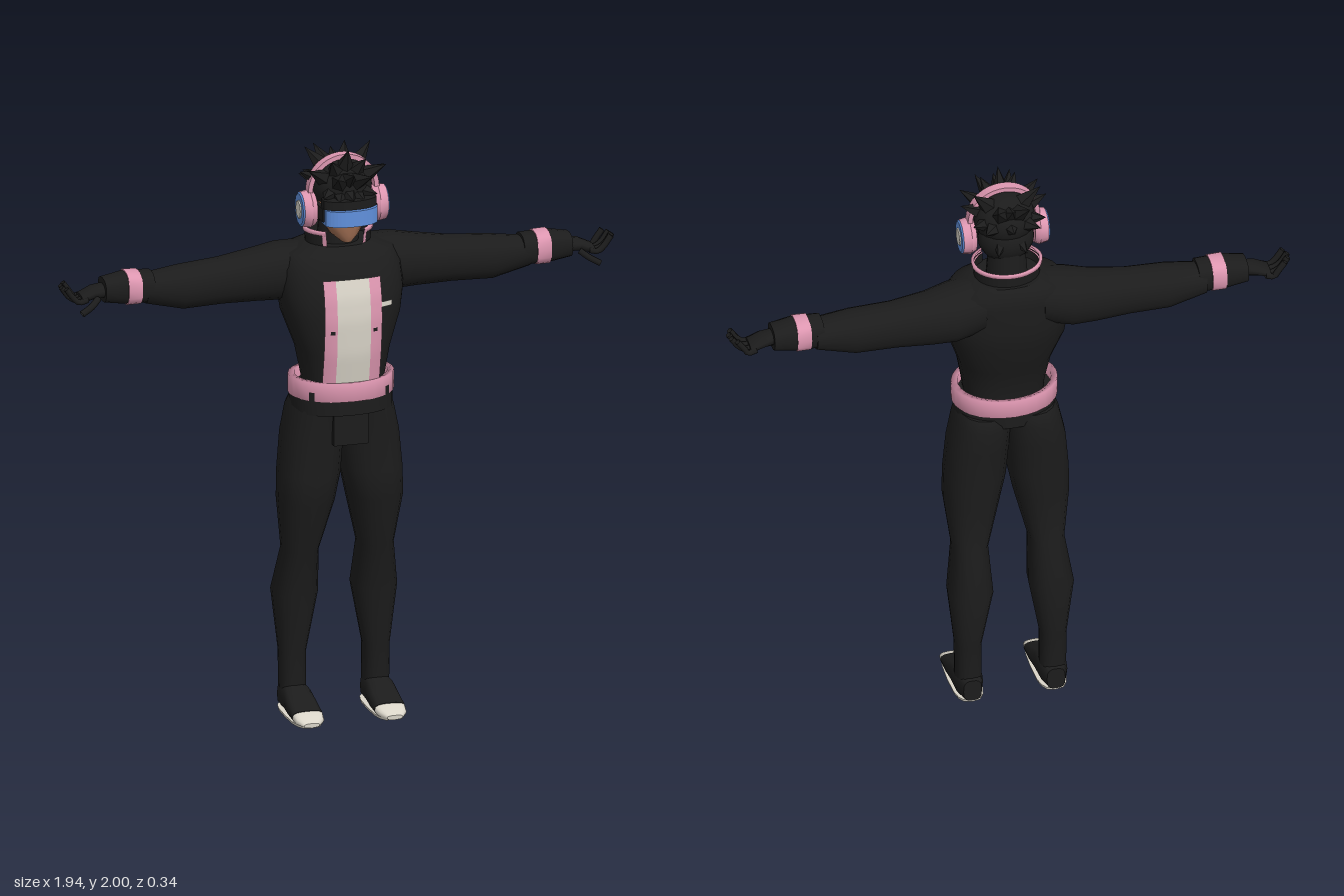
import * as THREE from 'three';
import { mergeGeometries } from 'three/addons/utils/BufferGeometryUtils.js';

const mat = (name, color, side = THREE.FrontSide) => {
  const m = new THREE.MeshStandardMaterial({ color, side });
  m.name = name;
  return m;
};

// Lofts rounded cross-sections [t, a0, a1, b0, b1] along an axis.
// axis y: a = z, b = x; axis x: a = y, b = z; axis z: a = x, b = y
function loft(axis, sections, n = 16, e = 2.3) {
  const pos = [], idx = [];
  const put = (t, a, b) => pos.push(...(axis === 'y' ? [b, t, a] : axis === 'x' ? [t, a, b] : [a, b, t]));
  const pw = v => Math.sign(v) * Math.pow(Math.abs(v), 2 / e);
  const ring = ([t, a0, a1, b0, b1]) => {
    const start = pos.length / 3;
    for (let j = 0; j < n; j++) {
      const q = (j / n) * Math.PI * 2;
      put(t, (a0 + a1) / 2 + pw(Math.cos(q)) * (a1 - a0) / 2, (b0 + b1) / 2 + pw(Math.sin(q)) * (b1 - b0) / 2);
    }
    return start;
  };
  const starts = sections.map(ring);
  for (let i = 0; i < starts.length - 1; i++) {
    for (let j = 0; j < n; j++) {
      const k = (j + 1) % n, p = starts[i], q = starts[i + 1];
      idx.push(p + j, p + k, q + j, p + k, q + k, q + j);
    }
  }
  // End caps with their own vertices so the rims stay sharp
  [sections[0], sections[sections.length - 1]].forEach((s, end) => {
    const r = ring(s), c = pos.length / 3;
    put(s[0], (s[1] + s[2]) / 2, (s[3] + s[4]) / 2);
    for (let j = 0; j < n; j++) {
      const k = (j + 1) % n;
      idx.push(c, r + (end ? j : k), r + (end ? k : j));
    }
  });
  const g = new THREE.BufferGeometry();
  g.setAttribute('position', new THREE.Float32BufferAttribute(pos, 3));
  g.setIndex(idx);
  g.computeVertexNormals();
  return g;
}

function mirrored(geo) {
  const g = geo.clone().scale(-1, 1, 1);
  if (!g.index) g.setIndex([...Array(g.attributes.position.count).keys()]);
  const a = g.index.array;
  for (let i = 0; i < a.length; i += 3) [a[i], a[i + 1]] = [a[i + 1], a[i]];
  return g;
}

const tube = (pts, r) => new THREE.TubeGeometry(
  new THREE.CatmullRomCurve3(pts.map(p => new THREE.Vector3(...p))), 8, r, 6);

// Torso sections: height, back, front, right, left
const TORSO = [
  [1.12, -0.09, 0.125, -0.13, 0.13], [1.2, -0.09, 0.128, -0.14, 0.14],
  [1.3, -0.12, 0.145, -0.158, 0.158], [1.42, -0.165, 0.15, -0.2, 0.2],
  [1.5, -0.17, 0.142, -0.212, 0.212], [1.58, -0.17, 0.118, -0.207, 0.207],
  [1.63, -0.168, 0.085, -0.185, 0.185], [1.655, -0.14, 0.06, -0.11, 0.11]];

// Height of the chest surface above z = 0
function chestZ(x, y) {
  let i = 0;
  while (i < TORSO.length - 2 && y > TORSO[i + 1][0]) i++;
  const p = TORSO[i], q = TORSO[i + 1], f = (y - p[0]) / (q[0] - p[0]);
  const [, b, t, , w] = p.map((v, k) => v + (q[k] - v) * f);
  return (b + t) / 2 + (t - b) / 2 * Math.pow(1 - Math.pow(Math.abs(x) / w, 2.5), 0.4);
}

// Thin painted panel that follows the chest
function panel(x0, x1, y0, y1, lift) {
  const g = new THREE.PlaneGeometry(x1 - x0, y1 - y0, 4, 16).translate((x0 + x1) / 2, (y0 + y1) / 2, 0);
  const p = g.attributes.position;
  for (let i = 0; i < p.count; i++) p.setZ(i, chestZ(p.getX(i), p.getY(i)) + lift);
  g.computeVertexNormals();
  return g;
}

export function createModel() {
  const model = new THREE.Group();
  model.name = 'figure';
  const black = mat('black cloth', 0x1c1c1c, THREE.DoubleSide);
  const pink = mat('pink trim', 0xde97b1, THREE.DoubleSide);
  const cream = mat('cream', 0xd9d4c8, THREE.DoubleSide);
  const blue = mat('blue', 0x6090dc);
  const skin = mat('skin', 0x9c6b50);
  const add = (name, geo, m) => {
    const mesh = new THREE.Mesh(geo, m);
    mesh.name = name;
    model.add(mesh);
  };
  const pair = (name, geo, m) => {
    add(name + 'Left', geo, m);
    add(name + 'Right', mirrored(geo), m);
  };

  // Jacket, belt and hem
  add('torso', loft('y', TORSO, 28, 2.5), black);
  add('frontPanel', panel(-0.058, 0.058, 1.2, 1.56, 0.006), cream);
  pair('frontStripe', panel(0.058, 0.1, 1.2, 1.56, 0.006), pink);
  pair('stripeNotch', panel(0.066, 0.082, 1.378, 1.39, 0.009), black);
  add('chestTab', panel(0.1, 0.14, 1.457, 1.475, 0.006), cream);
  const ring = [[0.158, 1.137], [0.18, 1.135], [0.18, 1.2], [0.158, 1.2], [0.158, 1.137]];
  add('belt', new THREE.LatheGeometry(ring.map(p => new THREE.Vector2(...p)), 28).scale(1, 1, 0.805), pink);
  add('hem', loft('y', [[1.085, -0.135, 0.138, -0.172, 0.172], [1.165, -0.135, 0.138, -0.172, 0.172]], 28), black);
  add('frontFlap', new THREE.BoxGeometry(0.12, 0.13, 0.05).translate(0, 1.04, 0.092), black);

  // Open collar with pink rim
  const collar = (pts, start) => new THREE.LatheGeometry(pts.map(p => new THREE.Vector2(...p)), 24,
    start, Math.PI * 2 - 2 * start).scale(1, 1, 0.85).translate(0, 0, -0.035);
  add('collar', collar([[0.108, 1.61], [0.114, 1.695]], 0.6), black);
  add('collarRim', collar([[0.109, 1.69], [0.119, 1.692], [0.121, 1.706], [0.11, 1.706]], 0.6), pink);
  pair('collarEdge', new THREE.LatheGeometry([new THREE.Vector2(0.109, 1.65), new THREE.Vector2(0.117, 1.7)],
    3, 0.6, 0.14).scale(1, 1, 0.85).translate(0, 0, -0.032), pink);

  // Legs
  pair('leg', loft('y', [
    [0.06, -0.13, -0.03, 0.1, 0.19], [0.21, -0.13, -0.03, 0.1, 0.192], [0.42, -0.168, 0.008, 0.062, 0.215],
    [0.58, -0.117, 0.032, 0.07, 0.192], [0.76, -0.125, 0.093, 0.025, 0.214], [0.86, -0.13, 0.097, 0.004, 0.212],
    [0.99, -0.138, 0.098, -0.006, 0.2], [1.08, -0.15, 0.11, -0.01, 0.18], [1.12, -0.13, 0.11, -0.01, 0.165]]), black);

  // Shoes with pale toes and soles
  pair('shoe', loft('z', [
    [-0.14, 0.112, 0.175, 0.006, 0.085], [-0.1, 0.098, 0.192, 0.006, 0.098], [-0.03, 0.094, 0.194, 0.006, 0.098],
    [0.03, 0.09, 0.197, 0.006, 0.068], [0.09, 0.09, 0.197, 0.006, 0.046]], 14, 3), black);
  pair('toeCap', loft('z', [[0.09, 0.09, 0.197, 0.006, 0.044], [0.12, 0.096, 0.192, 0.004, 0.034],
    [0.142, 0.118, 0.172, 0.003, 0.018]], 14, 3), cream);
  pair('sole', loft('y', [[0, -0.138, 0.138, 0.092, 0.195], [0.009, -0.14, 0.142, 0.09, 0.197]], 16, 3.2), cream);

  // Arms, cuffs and bands
  pair('arm', loft('x', [
    [0.1, 1.48, 1.65, -0.165, 0.05], [0.2, 1.455, 1.646, -0.174, 0.035], [0.28, 1.455, 1.63, -0.165, 0.015],
    [0.4, 1.457, 1.612, -0.147, 0.004], [0.54, 1.455, 1.602, -0.14, 0.01], [0.67, 1.487, 1.585, -0.12, -0.004]]), black);
  pair('cuff', loft('x', [[0.645, 1.492, 1.598, -0.115, -0.004], [0.74, 1.494, 1.602, -0.115, -0.003],
    [0.815, 1.506, 1.588, -0.108, -0.01]], 16, 2.6), black);
  pair('cuffBand', loft('x', [[0.69, 1.49, 1.604, -0.118, 0], [0.738, 1.49, 1.606, -0.118, 0]], 16, 2.6), pink);

  // Hands
  pair('palm', loft('x', [[0.8, 1.522, 1.572, -0.09, -0.025], [0.85, 1.522, 1.562, -0.1, -0.018],
    [0.895, 1.51, 1.54, -0.1, -0.018]], 10), black);
  for (let i = 0; i < 4; i++) {
    const z = -0.096 + i * 0.024, reach = [-0.015, 0, 0.004, -0.006][i];
    pair('finger' + (i + 1), tube([[0.875, 1.528, z], [0.905, 1.521, z], [0.93 + reach, 1.535, z],
      [0.957 + reach, 1.572, z]], 0.0105), black);
  }
  pair('thumb', tube([[0.84, 1.53, -0.02], [0.87, 1.508, -0.002], [0.905, 1.488, 0.004]], 0.0115), black);

  // Head and neck
  add('neck', new THREE.CylinderGeometry(0.062, 0.075, 0.16, 16).translate(0, 1.68, -0.035), black);
  add('face', loft('y', [
    [1.676, 0.035, 0.085, -0.018, 0.018], [1.7, -0.03, 0.095, -0.048, 0.048], [1.74, -0.06, 0.097, -0.074, 0.074],
    [1.8, -0.08, 0.095, -0.086, 0.086], [1.88, -0.08, 0.08, -0.08, 0.08]], 18, 2.1), skin);

  // Hair mass and spikes
  add('hairCap', new THREE.SphereGeometry(1, 20, 14).scale(0.104, 0.09, 0.105).translate(0, 1.858, -0.002), black);
  add('hairBack', new THREE.SphereGeometry(1, 16, 12).scale(0.096, 0.09, 0.085).translate(0, 1.795, -0.022), black);
  const tips = [[0, 2, 0.085], [0, 1.95, -0.12], [0, 1.875, -0.14], [0, 1.84, 0.145], [0, 1.93, 0.15]];
  for (const [x, y, z] of [[0.115, 1.985, -0.04], [0.148, 1.915, 0.01], [0.135, 1.935, 0.075], [0.06, 1.925, 0.165],
    [0.055, 1.962, -0.135], [0.095, 1.875, -0.125], [0.05, 1.775, -0.12], [0.06, 1.965, 0.09], [0.095, 1.845, 0.11],
    [0.045, 1.83, 0.135], [0.125, 1.88, -0.075]]) tips.push([x, y, z], [-x, y, z]);
  const spikes = tips.map(t => {
    const core = new THREE.Vector3(0, 1.85, 0), dir = new THREE.Vector3(...t).sub(core);
    const len = dir.length() - 0.06;
    dir.normalize();
    const g = new THREE.ConeGeometry(0.043, len, 5).translate(0, len / 2 + 0.06, 0).toNonIndexed();
    g.computeVertexNormals();
    g.applyQuaternion(new THREE.Quaternion().setFromUnitVectors(new THREE.Vector3(0, 1, 0), dir));
    return g.translate(core.x, core.y, core.z);
  });
  add('hairSpikes', mergeGeometries(spikes), black);

  // Wraparound visor
  const visor = (w, z, y, h) => {
    const s = new THREE.Shape();
    s.moveTo(-w, -0.07);
    s.lineTo(w, -0.07);
    s.lineTo(w, -z + 0.035);
    s.quadraticCurveTo(w * 0.75, -z, 0, -z);
    s.quadraticCurveTo(-w * 0.75, -z, -w, -z + 0.035);
    return new THREE.ExtrudeGeometry(s, { depth: h, bevelEnabled: false, curveSegments: 8 })
      .rotateX(-Math.PI / 2).translate(0, y, 0);
  };
  add('visor', visor(0.09, 0.155, 1.752, 0.055), blue);
  add('visorFrame', visor(0.092, 0.14, 1.807, 0.03), black);
  pair('visorStrap', new THREE.BoxGeometry(0.012, 0.045, 0.09).translate(0.09, 1.785, 0.06), black);

  // Headphones
  const disc = (x0, x1, r0, r1, n) => loft('x', [[x0, 1.786 - r0, 1.786 + r0, 0.017 - r0 * 0.9, 0.017 + r0 * 0.9],
    [x1, 1.786 - r1, 1.786 + r1, 0.017 - r1 * 0.9, 0.017 + r1 * 0.9]], n, 2);
  pair('earCushion', disc(0.1, 0.118, 0.056, 0.065, 14), pink);
  pair('earCup', disc(0.118, 0.146, 0.065, 0.06, 14), pink);
  pair('earPlate', disc(0.146, 0.151, 0.06, 0.054, 14), blue);
  pair('earCentre', disc(0.151, 0.155, 0.033, 0.03, 8), cream);
  const arch = new THREE.Shape();
  arch.absarc(0, 0, 0.124, 0, Math.PI, false);
  arch.absarc(0, 0, 0.108, Math.PI, 0, true);
  add('headband', new THREE.ExtrudeGeometry(arch, { depth: 0.034, bevelEnabled: false, curveSegments: 16 })
    .translate(0, 1.845, 0), pink);

  return model;
}
